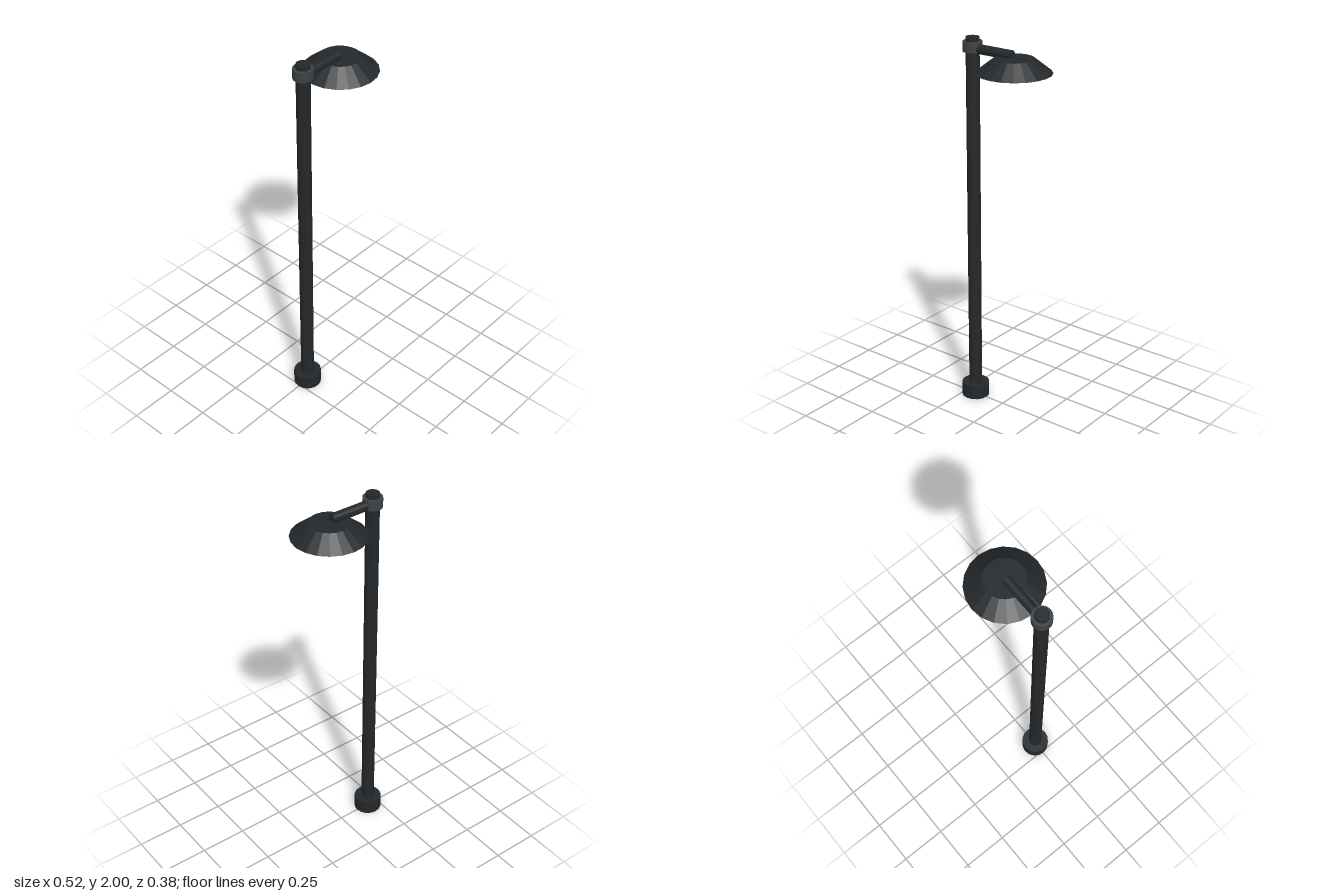
import * as THREE from 'three';

const POLE_X = -0.187;
const LAMP_X = 0.071;

function material(color) {
  return new THREE.MeshStandardMaterial({ color, flatShading: true });
}

export function createModel() {
  const group = new THREE.Group();
  const dark = material(0x24282b);
  const steel = material(0x3e4244);
  const amber = material(0xffb640);

  // Upright round part spanning y0 to y1
  function round(name, x, y0, y1, bottomR, topR, sides, mat) {
    const mesh = new THREE.Mesh(new THREE.CylinderGeometry(topR, bottomR, y1 - y0, sides), mat);
    mesh.name = name;
    mesh.position.set(x, (y0 + y1) / 2, 0);
    group.add(mesh);
    return mesh;
  }

  // Post: foot, pole reaching to the tip, and collar that holds the arm
  round('base', POLE_X, 0, 0.075, 0.074, 0.074, 16, dark);
  round('pole', POLE_X, 0.075, 2, 0.035, 0.035, 16, dark);
  round('collar', POLE_X, 1.926, 1.979, 0.05, 0.05, 16, steel);

  // Horizontal arm
  const arm = round('arm', (POLE_X + 0.057) / 2, 0, 0.057 - POLE_X, 0.025, 0.025, 12, dark);
  arm.rotation.z = -Math.PI / 2;
  arm.position.y = 1.943;

  // Conical shade with the glowing disc beneath it
  round('shade', LAMP_X, 1.859, 1.93, 0.19, 0.101, 20, dark);
  round('lightDisc', LAMP_X, 1.838, 1.862, 0.105, 0.105, 20, amber);

  return group;
}
